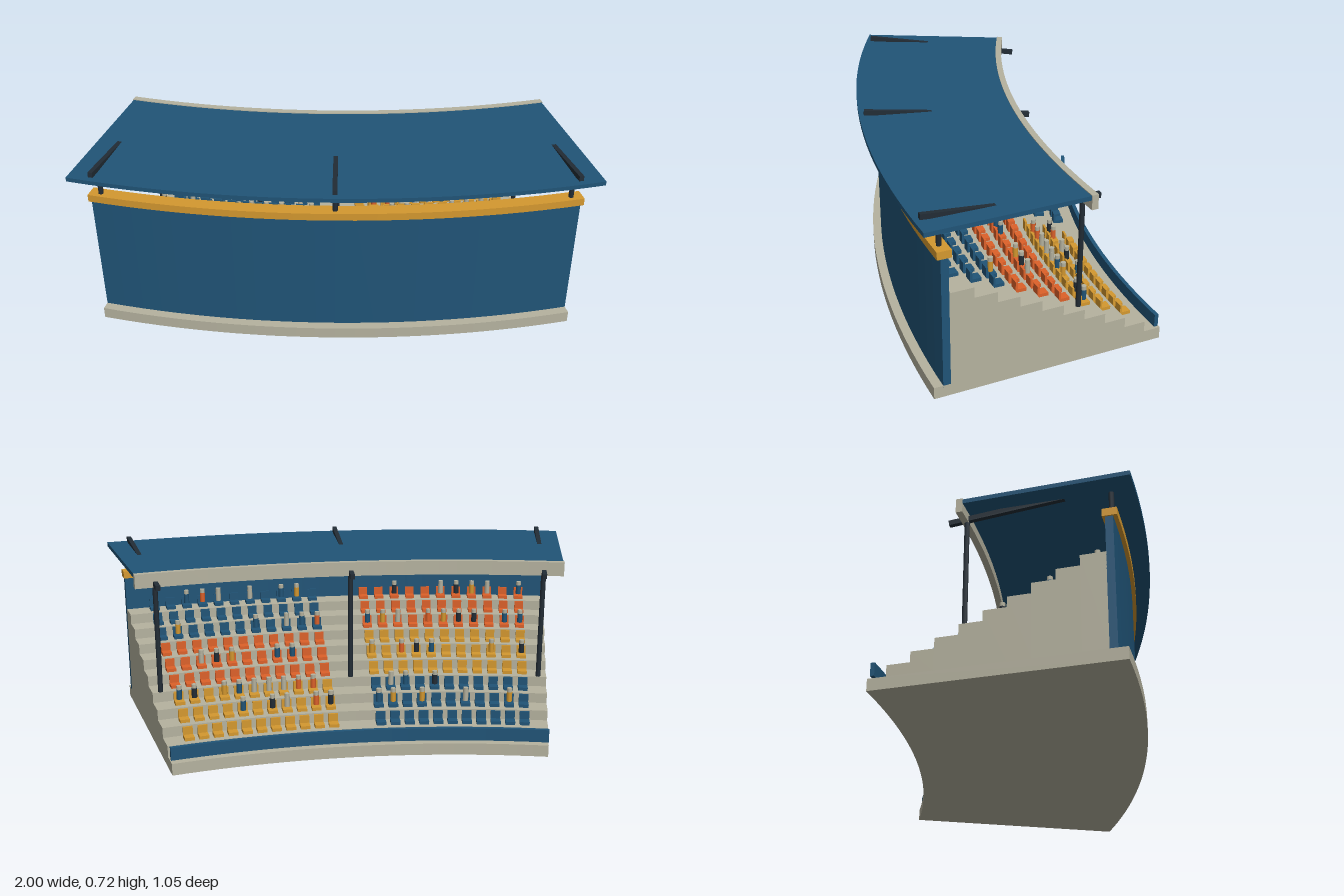
import * as THREE from 'three';
import { mergeGeometries } from 'three/addons/utils/BufferGeometryUtils.js';

const CENTRE_Z = -3.48;      // centre of the arc the stand is bent around
const SPREAD = 0.24;         // half angle of the stand
const TIERS = 9, TIER_R = 3.11, TIER_D = 0.0867, TIER_Y = 0.09, TIER_H = 0.041;

const mat = (name, color) => {
  const m = new THREE.MeshStandardMaterial({ color });
  m.name = name;
  return m;
};

export function createModel() {
  const blue = mat('blue', 0x205477);
  const gold = mat('gold', 0xd4982f);
  const orange = mat('orange', 0xdd6129);
  const concrete = mat('concrete', 0xb5b29f);
  const steel = mat('dark steel', 0x222c35);

  const model = new THREE.Group();
  model.name = 'grandstand';
  // everything is placed in polar coordinates around the arc centre
  const arc = new THREE.Group();
  arc.name = 'curvedStand';
  arc.position.z = CENTRE_Z;
  model.add(arc);

  const add = (name, geometry, material) => {
    const mesh = new THREE.Mesh(geometry, material);
    mesh.name = name;
    arc.add(mesh);
    return mesh;
  };

  // curved slab between two radii and two heights
  const slab = (name, r0, r1, y0, y1, half, material) => {
    const n = 24, pts = [];
    const point = (r, a) => new THREE.Vector2(r * Math.sin(a), -r * Math.cos(a));
    for (let i = 0; i <= n; i++) pts.push(point(r1, half * (2 * i / n - 1)));
    for (let i = n; i >= 0; i--) pts.push(point(r0, half * (2 * i / n - 1)));
    const g = new THREE.ExtrudeGeometry(new THREE.Shape(pts), { depth: y1 - y0, bevelEnabled: false });
    g.rotateX(-Math.PI / 2).translate(0, y0, 0);
    return add(name, g, material);
  };

  // move a geometry out to radius r, height y and turn it by angle a
  const polar = (g, r, y, a) => g.translate(0, y, r).rotateY(a);

  // base, rear wall and front parapet
  slab('base', 3.04, 3.96, 0, 0.047, SPREAD, concrete);
  slab('rearWall', 3.896, 3.925, 0.04, 0.56, SPREAD, blue);
  slab('wallCap', 3.886, 3.94, 0.558, 0.588, 0.2415, gold);
  slab('frontParapet', 3.05, 3.066, 0.056, 0.107, SPREAD, blue);

  // stepped seating tiers
  const tierTop = i => TIER_Y + TIER_H * i;
  for (let i = 0; i < TIERS; i++) {
    const r = TIER_R + TIER_D * i;
    slab('tier', r, i === TIERS - 1 ? 3.897 : r + TIER_D, 0.046, tierTop(i), SPREAD, concrete);
  }

  // roof with front fascia
  slab('roof', 3.375, 4.0, 0.68, 0.697, 0.2527, blue);
  slab('roofFascia', 3.363, 3.388, 0.644, 0.7, 0.2535, concrete);

  // columns, posts and sloping roof beams
  for (const a of [-0.23, 0, 0.23]) {
    const column = (name, r, y0, y1) =>
      add(name, polar(new THREE.CylinderGeometry(0.01, 0.01, y1 - y0, 8), r, (y0 + y1) / 2, a), steel);
    column('frontColumn', 3.38, tierTop(3), 0.665);
    column('rearPost', 3.915, 0.58, 0.685);
    const run = 0.668, drop = 0.057;
    const beam = new THREE.BoxGeometry(0.018, 0.02, Math.hypot(run, drop));
    beam.rotateX(-Math.atan2(drop, run));
    add('roofBeam', polar(beam, 3.646, 0.6815, a), steel);
  }

  // seats and spectators
  let seed = 7;
  const random = () => (seed = (seed * 16807) % 2147483647) / 2147483647;
  const SEATS = 11;
  const busyTiers = [1, 2, 4, 6, 8];
  const clothes = [orange, gold, steel, concrete, blue];
  const rowColours = { '1': [gold, orange, blue], '-1': [blue, gold, orange] };

  for (const side of [-1, 1]) {
    for (let i = 0; i < TIERS; i++) {
      const y = tierTop(i), r = TIER_R + TIER_D * (i + 0.5);
      const seats = [], heads = [];
      for (let k = 0; k < SEATS; k++) {
        const a = side * (0.03 + 0.0181 * k);
        seats.push(polar(new THREE.BoxGeometry(0.038, 0.013, 0.043), r, y + 0.0075, a));
        seats.push(polar(new THREE.BoxGeometry(0.038, 0.036, 0.008), r + 0.0175, y + 0.027, a));
        if (!busyTiers.includes(i) || random() > 0.55) continue;
        const cloth = clothes[Math.floor(random() * clothes.length)];
        const body = new THREE.CylinderGeometry(0.011, 0.011, 0.04, 8);
        add('spectatorBody', polar(body, r - 0.002, y + 0.041, a), cloth);
        heads.push(polar(new THREE.CylinderGeometry(0.0105, 0.0105, 0.017, 8), r - 0.002, y + 0.0685, a));
      }
      add('seatRow', mergeGeometries(seats), rowColours[side][Math.floor(i / 3)]);
      if (heads.length) add('spectatorHeads', mergeGeometries(heads), concrete);
    }
  }
  return model;
}
